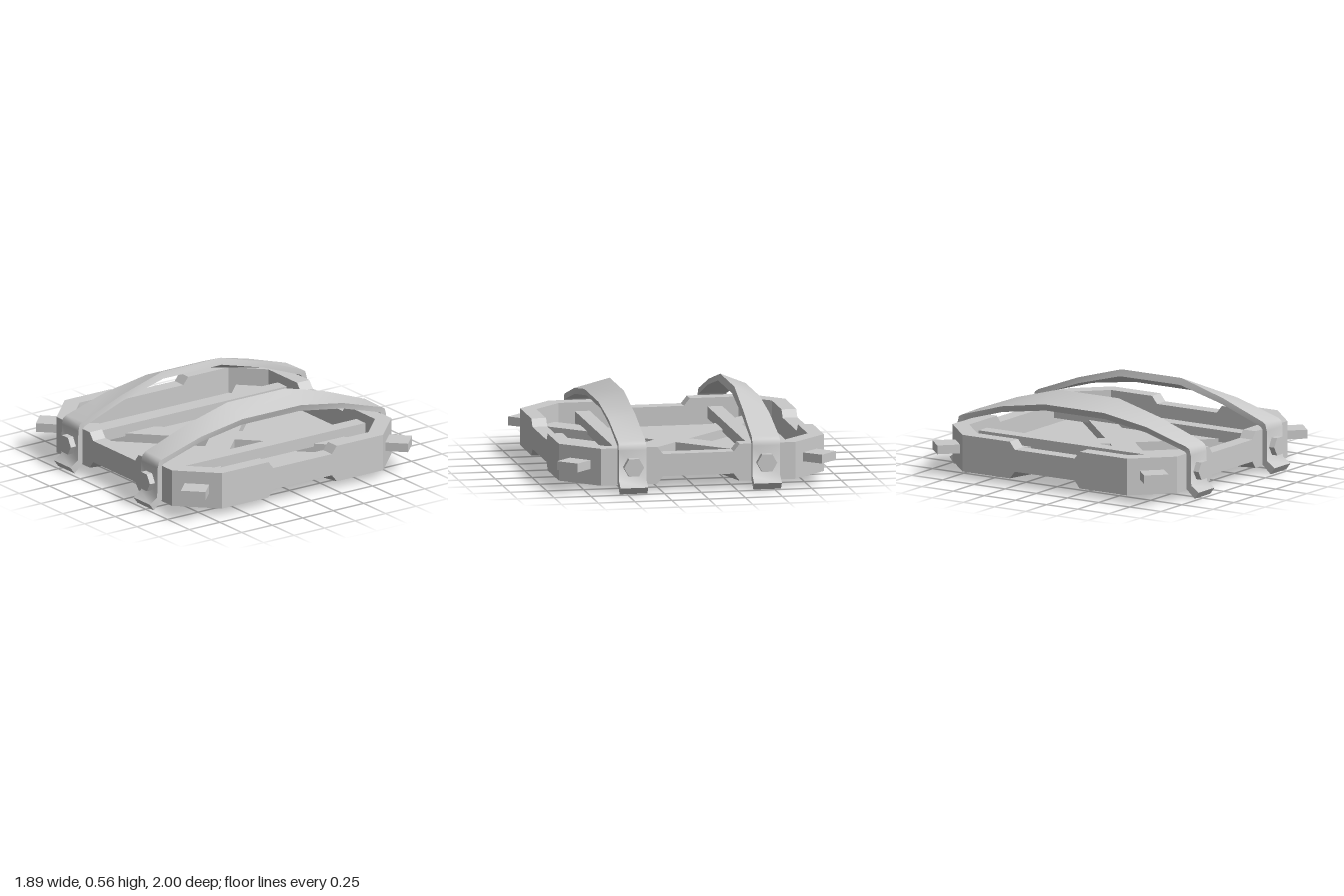
import * as THREE from 'three';
import { toCreasedNormals } from 'three/addons/utils/BufferGeometryUtils.js';

const grey = new THREE.MeshStandardMaterial({ color: 0xcacaca });
grey.name = 'grey metal';

// Collects triangles and quads (corners counter-clockwise from outside)
function faceBuilder() {
  const pos = [];
  const tri = (a, b, c) => pos.push(...a, ...b, ...c);
  const quad = (a, b, c, d) => { tri(a, b, c); tri(a, c, d); };
  const build = (crease) => {
    const g = new THREE.BufferGeometry();
    g.setAttribute('position', new THREE.Float32BufferAttribute(pos, 3));
    g.computeVertexNormals();
    return toCreasedNormals(g, crease);
  };
  return { tri, quad, build };
}

function named(geometry, name) {
  const mesh = new THREE.Mesh(geometry, grey);
  mesh.name = name;
  return mesh;
}

// Octagonal tray: notched rim, flat floor, slightly domed underside
function trayParts() {
  const rim = faceBuilder(), floor = faceBuilder(), underside = faceBuilder();
  const floorY = 0.12;
  // offset along outer side, along inner side, top height, bottom height
  const side = [
    [-0.66, -0.61, 0.30, 0.05], [-0.28, -0.28, 0.30, 0.05], [-0.24, -0.24, 0.25, 0.10],
    [0.24, 0.24, 0.25, 0.10], [0.28, 0.28, 0.30, 0.05], [0.66, 0.61, 0.30, 0.05],
  ];
  const ring = [];
  for (let k = 0; k < 4; k++) {
    const c = Math.round(Math.cos(k * Math.PI / 2)), s = Math.round(Math.sin(k * Math.PI / 2));
    const at = (t, r, y) => [t * c + r * s, y, -t * s + r * c];
    for (const [to, ti, top, bottom] of side) {
      ring.push({
        outTop: at(to, 0.9, top), outLow: at(to, 0.9, bottom),
        inTop: at(ti, 0.8, top), inLow: at(ti, 0.8, floorY),
      });
    }
  }
  ring.forEach((a, i) => {
    const b = ring[(i + 1) % ring.length];
    rim.quad(a.outLow, b.outLow, b.outTop, a.outTop);
    rim.quad(a.outTop, b.outTop, b.inTop, a.inTop);
    rim.quad(b.inLow, a.inLow, a.inTop, b.inTop);
    floor.tri(a.inLow, b.inLow, [0, floorY, 0]);
    underside.tri(b.outLow, a.outLow, [0, 0.065, 0]);
  });
  return [
    named(rim.build(0.3), 'trayRim'),
    named(floor.build(0.3), 'trayFloor'),
    named(underside.build(1.2), 'trayUnderside'),
  ];
}

// Arched strap, its inner edge lifted towards the middle
function strapGeometry() {
  const f = faceBuilder();
  // outer face z, y; inner face z, y; lift of the inner edge
  const half = [
    [1.0, 0.045, 0.967, 0.0, 0], [0.94, 0.085, 0.9, 0.06, 0], [0.936, 0.29, 0.9, 0.295, 0],
    [0.925, 0.33, 0.89, 0.31, 0.002], [0.9, 0.345, 0.875, 0.315, 0.005],
    [0.58, 0.44, 0.58, 0.40, 0.03], [0.24, 0.495, 0.24, 0.45, 0.07],
  ];
  const all = [...half, ...half.slice().reverse().map(([a, b, c, d, e]) => [-a, b, -c, d, e])];
  const rings = all.map(([zo, yo, zi, yi, lift]) => {
    const lean = lift * 0.22; // the tilted section leans outwards at the top
    return [
      [0.548, yo, zo], [0.36 + lean, yo + lift, zo],
      [0.36, yi + lift, zi], [0.548 - lean, yi, zi],
    ];
  });
  for (let i = 0; i + 1 < rings.length; i++) {
    const a = rings[i], b = rings[i + 1];
    for (let j = 0; j < 4; j++) {
      const n = (j + 1) % 4;
      f.quad(a[j], b[j], b[n], a[n]);
    }
  }
  f.quad(...rings[0]);
  f.quad(...rings[rings.length - 1].slice().reverse());
  return f.build(1.1);
}

export function createModel() {
  const model = new THREE.Group();
  model.name = 'strapped tray';
  model.add(...trayParts());

  // Crossed floor braces
  for (const s of [-1, 1]) {
    const brace = named(new THREE.BoxGeometry(0.17, 0.08, 2.02), 'crossBrace');
    brace.position.y = 0.14;
    brace.rotation.y = s * Math.PI / 4;
    model.add(brace);
  }

  // Locating pegs on the four corners
  for (let k = 0; k < 4; k++) {
    const a = Math.PI / 4 + k * Math.PI / 2;
    const peg = named(new THREE.BoxGeometry(0.165, 0.06, 0.2), 'cornerPeg');
    peg.position.set(Math.sin(a) * 1.157, 0.185, Math.cos(a) * 1.157);
    peg.rotation.y = a;
    model.add(peg);
  }

  // Straps with the rails below them and a hexagonal bolt at each end
  const strapGeo = strapGeometry();
  const boltGeo = toCreasedNormals(new THREE.CylinderGeometry(0.068, 0.068, 0.07, 6), 0.5);
  boltGeo.rotateY(Math.PI / 2);
  boltGeo.rotateX(Math.PI / 2);
  for (const s of [1, -1]) {
    const strap = named(strapGeo, s > 0 ? 'leftStrap' : 'rightStrap');
    if (s < 0) strap.rotation.y = Math.PI;
    model.add(strap);

    const rail = named(new THREE.BoxGeometry(0.1, 0.08, 1.62), 'rail');
    rail.position.set(s * 0.45, 0.2, 0);
    model.add(rail);

    for (const e of [1, -1]) {
      const bolt = named(boltGeo, 'bolt');
      bolt.position.set(s * 0.452, 0.178, e * 0.945);
      model.add(bolt);
    }
  }
  return model;
}
